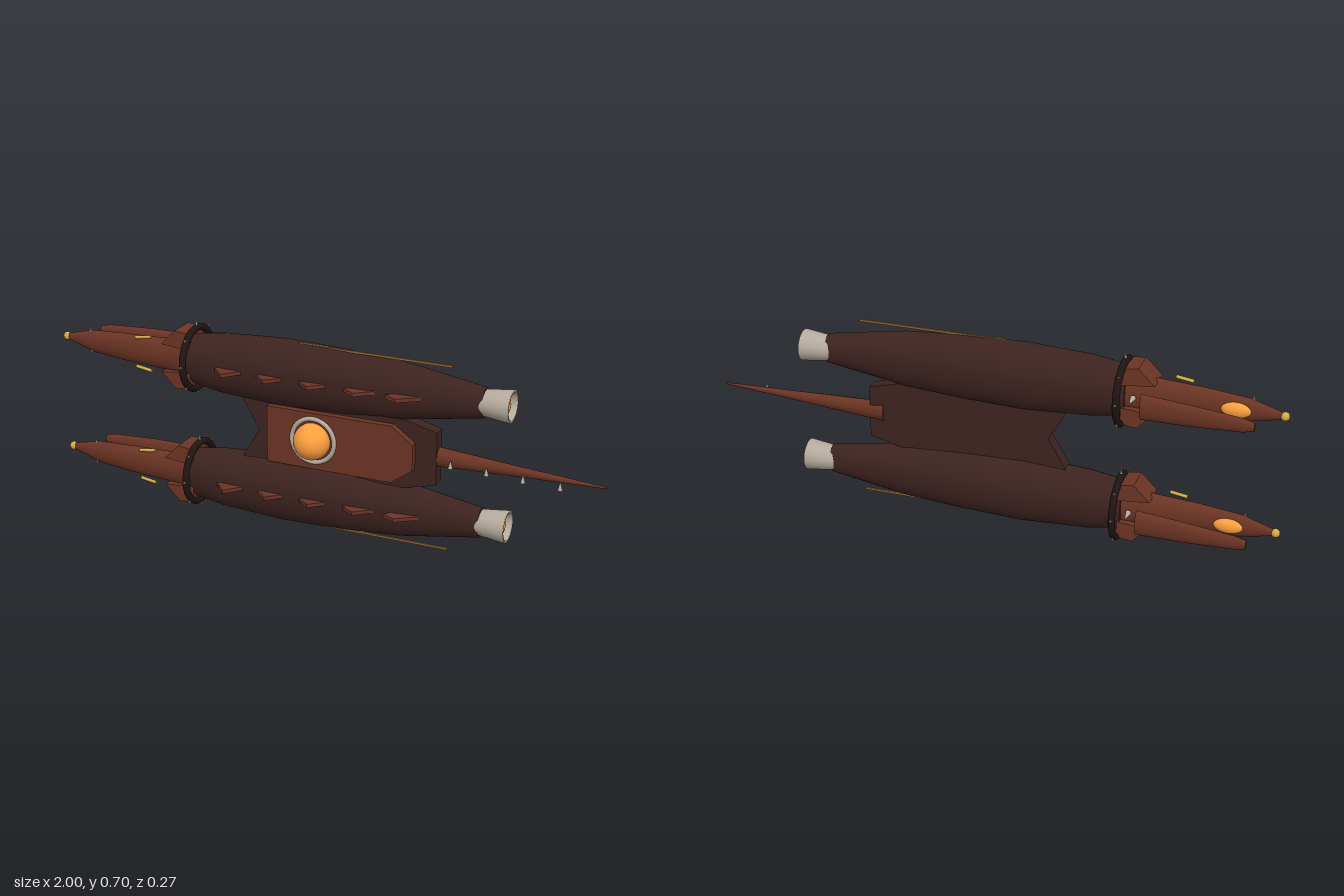
import * as THREE from 'three';

const paint = (color, side = THREE.FrontSide) => new THREE.MeshStandardMaterial({ color, side });
const dark = paint(0x3d2320), brown = paint(0x6b3424), black = paint(0x1f1513);
const orange = paint(0xffa040), gold = paint(0xd2ac45), steel = paint(0xb5aa9c, THREE.DoubleSide);

function add(parent, name, geometry, material, x = 0, y = 0, z = 0) {
  const mesh = new THREE.Mesh(geometry, material);
  mesh.name = name;
  mesh.position.set(x, y, z);
  parent.add(mesh);
  return mesh;
}

// Closed body along x from stations [x, radiusY, radiusZ, centreZ]
function loft(stations, sides = 32) {
  const pos = [], idx = [], n = sides;
  for (const [x, ry, rz, cz] of stations) {
    for (let i = 0; i < n; i++) {
      const a = (i / n) * Math.PI * 2;
      pos.push(x, Math.cos(a) * ry, cz + Math.sin(a) * rz);
    }
  }
  for (let s = 0; s < stations.length - 1; s++) {
    for (let i = 0; i < n; i++) {
      const a = s * n + i, b = s * n + (i + 1) % n;
      idx.push(a, b, a + n, b, b + n, a + n);
    }
  }
  // End caps with their own vertices
  for (const s of [0, stations.length - 1]) {
    const base = pos.length / 3, [x, ry, rz, cz] = stations[s];
    for (let i = 0; i < n; i++) {
      const a = (i / n) * Math.PI * 2;
      pos.push(x, Math.cos(a) * ry, cz + Math.sin(a) * rz);
    }
    pos.push(x, 0, cz);
    for (let i = 0; i < n; i++) {
      const a = base + i, b = base + (i + 1) % n;
      if (s === 0) idx.push(base + n, b, a);
      else idx.push(base + n, a, b);
    }
  }
  const g = new THREE.BufferGeometry();
  g.setAttribute('position', new THREE.Float32BufferAttribute(pos, 3));
  g.setIndex(idx);
  g.computeVertexNormals();
  return g;
}

// Flat outline in x-y, extruded along z from z0 to z1
function slab(points, z0, z1) {
  const shape = new THREE.Shape(points.map(([x, y]) => new THREE.Vector2(x, y)));
  const g = new THREE.ExtrudeGeometry(shape, { depth: z1 - z0, bevelEnabled: false });
  return g.translate(0, 0, z0);
}

// One hull lying along x; side is +1 for the upper, -1 for the lower
function makeHull(side) {
  const g = new THREE.Group();
  g.name = side > 0 ? 'upperHull' : 'lowerHull';

  add(g, 'hullBody', loft([
    [-0.47, 0.088, 0.052, 0.01], [-0.35, 0.106, 0.068, 0.01], [-0.12, 0.118, 0.076, 0.008],
    [0.1, 0.111, 0.07, 0.008], [0.3, 0.098, 0.058, 0.006], [0.58, 0.052, 0.04, 0.002]]), dark);
  add(g, 'nose', loft([
    [-0.985, 0.01, 0.008, -0.015], [-0.87, 0.04, 0.02, -0.004],
    [-0.72, 0.05, 0.028, 0.006], [-0.58, 0.056, 0.032, 0.01], [-0.45, 0.075, 0.045, 0.01]]), brown);
  add(g, 'noseBall', new THREE.SphereGeometry(0.015, 20, 14), gold, -0.985, 0, -0.015);
  add(g, 'noseWindow', new THREE.SphereGeometry(1, 28, 18), orange, -0.83, 0, -0.02)
    .scale.set(0.05, 0.026, 0.018);

  // Detached shell behind the nose
  add(g, 'noseShell', loft([
    [-0.91, 0.015, 0.01, -0.123], [-0.87, 0.024, 0.013, -0.12],
    [-0.7, 0.037, 0.016, -0.11], [-0.54, 0.044, 0.019, -0.097]]), brown);

  // Collar cheeks, short rods and whiskers mirrored across the hull
  for (const s of [1, -1]) {
    const cheek = [[-0.57, 0.05], [-0.515, 0.105], [-0.46, 0.098], [-0.46, 0.04]].map(([x, y]) => [x, y * s]);
    add(g, 'collarCheek', slab(cheek, -0.045, 0.055), brown);
    const rod = add(g, 'noseRod', new THREE.CylinderGeometry(0.006, 0.006, 0.06, 12), gold, -0.65, s * 0.057, 0.034);
    rod.rotation.z = Math.PI / 2 + s * 0.15;
    const whisker = add(g, 'noseSpike', new THREE.ConeGeometry(0.005, 0.02, 8), steel, -0.88, s * 0.043, 0);
    if (s < 0) whisker.rotation.z = Math.PI;
  }
  add(g, 'rearSpike', new THREE.ConeGeometry(0.01, 0.05, 12), steel, -0.5, 0, -0.068).rotation.x = -Math.PI / 2;

  // Spiked ring
  add(g, 'ring', new THREE.TorusGeometry(0.107, 0.012, 14, 56), black, -0.46).rotation.y = Math.PI / 2;
  for (let i = 0; i < 8; i++) {
    const a = (i / 8) * Math.PI * 2, h = i % 4 === 0 ? 0.03 : 0.02;
    const r = 0.112 + h / 2;
    add(g, 'ringSpike', new THREE.ConeGeometry(0.006, h, 8), steel,
      -0.46, Math.cos(a) * r, Math.sin(a) * r).rotation.x = a;
  }

  // Row of triangular fins on the front face
  [-0.305, -0.15, 0.005, 0.165, 0.31].forEach((x, i) => {
    const tip = 0.133 - i * 0.006;
    const fin = slab([[-0.045, -0.085], [0, -tip], [0.07, -0.06], [0, -0.04]], -0.0065, 0.0065);
    add(g, 'fin', fin.rotateX(-Math.PI / 2), brown, x, 0, 0);
  });

  // Long rod along the outer edge
  add(g, 'sideRod', new THREE.BoxGeometry(0.54, 0.007, 0.007), paint(0x9a6a35), 0.2, side * 0.111, 0.018);

  // Exhaust nozzle with glowing core
  const bell = [[0.036, 0.56], [0.043, 0.57], [0.055, 0.67], [0.045, 0.67], [0.038, 0.61]]
    .map(([r, x]) => new THREE.Vector2(r, x));
  add(g, 'nozzle', new THREE.LatheGeometry(bell, 36), steel).rotation.z = -Math.PI / 2;
  add(g, 'nozzleGlow', new THREE.SphereGeometry(0.042, 28, 18), orange, 0.635).scale.x = 0.6;

  g.position.y = 0.355 + side * 0.21;
  return g;
}

export function createModel() {
  const model = new THREE.Group();
  model.name = 'twinHullShip';
  model.add(makeHull(1), makeHull(-1));

  // Bridge joining the hulls, notched on the nose side
  const bridge = new THREE.Group();
  bridge.name = 'bridge';
  bridge.position.y = 0.355;
  model.add(bridge);
  add(bridge, 'bridgePlate', slab([
    [-0.28, 0.12], [-0.21, 0], [-0.28, -0.12], [0.32, -0.12], [0.43, -0.092], [0.43, 0.092], [0.32, 0.12]],
  -0.012, 0.035), dark);
  add(bridge, 'bridgePanel', slab([
    [-0.17, 0.1], [0.28, 0.1], [0.355, 0.045], [0.355, -0.045], [0.28, -0.1], [-0.17, -0.1]],
  0.035, 0.058), brown);
  add(bridge, 'dome', new THREE.SphereGeometry(0.063, 36, 24), orange, 0, 0.003, 0.067);
  add(bridge, 'domeRing', new THREE.TorusGeometry(0.077, 0.008, 12, 48), steel, 0, 0.003, 0.059);

  // Tapered tail boom with hanging cones
  add(bridge, 'tail', loft([[0.38, 0.036, 0.029, 0.005], [0.43, 0.034, 0.027, 0.007],
    [0.72, 0.017, 0.014, 0.019], [1, 0.003, 0.003, 0.03]], 12), brown);
  for (let i = 0; i < 4; i++) {
    add(bridge, 'tailCone', new THREE.ConeGeometry(0.008, 0.032, 12), steel,
      0.48 + i * 0.125, -0.005, 0.04 + i * 0.007);
  }
  return model;
}
